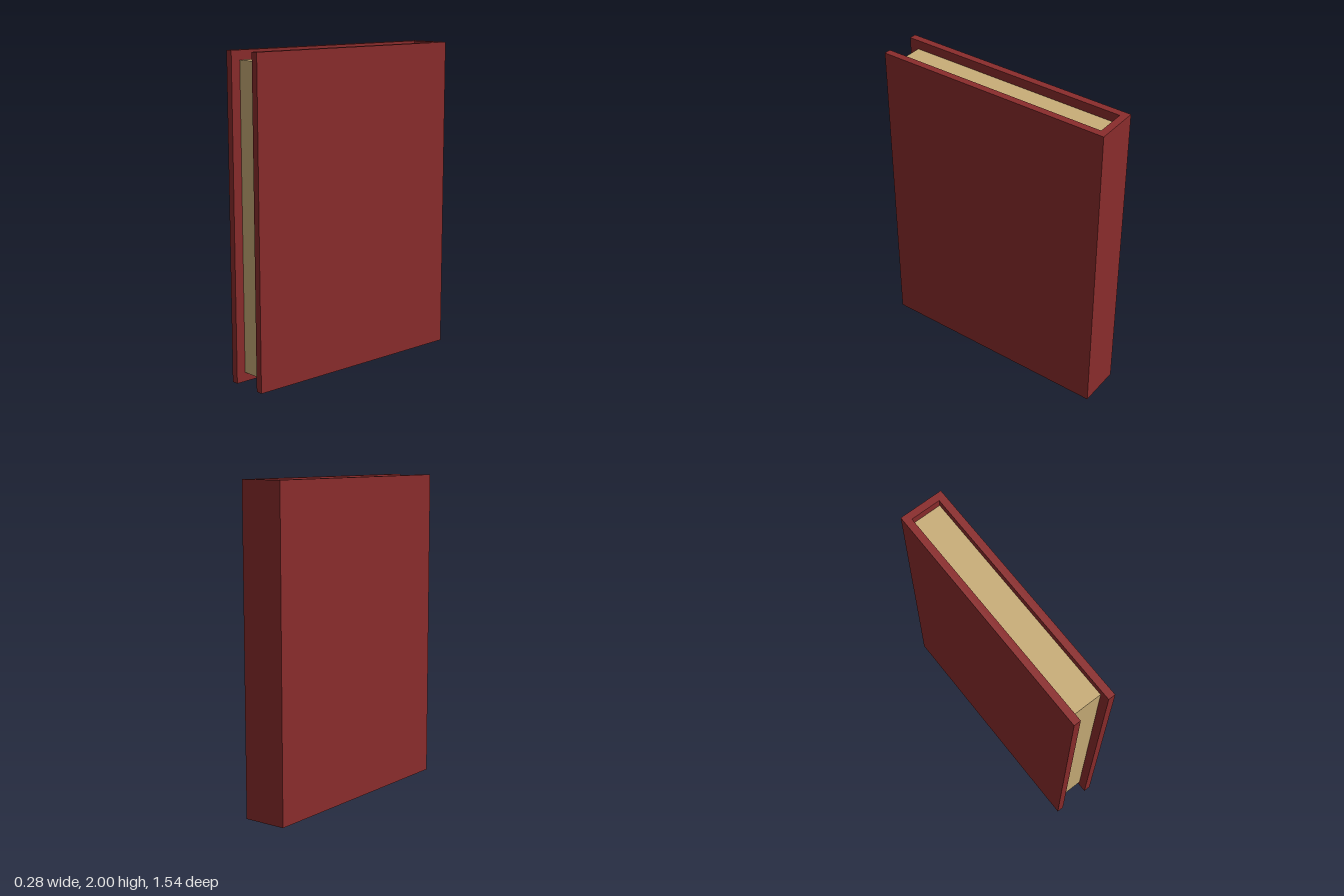
import * as THREE from 'three';

export function createModel() {
  const book = new THREE.Group();
  book.name = 'book';
  const coverRed = new THREE.MeshStandardMaterial({ color: 0x8b2c2c });
  coverRed.name = 'coverRed';
  const paperTan = new THREE.MeshStandardMaterial({ color: 0xc9ae78 });
  paperTan.name = 'paperTan';

  const halfW = 0.14, halfD = 0.77, height = 2, board = 0.045;
  const inner = halfW - board, spineFront = -halfD + board;

  // Boards and spine: one U-shaped outline (shape y is -z) raised to full height
  const outline = new THREE.Shape([
    [-halfW, -halfD], [-inner, -halfD], [-inner, -spineFront], [inner, -spineFront],
    [inner, -halfD], [halfW, -halfD], [halfW, halfD], [-halfW, halfD],
  ].map(([x, y]) => new THREE.Vector2(x, y)));
  const coverGeometry = new THREE.ExtrudeGeometry(outline, { depth: height, bevelEnabled: false });
  coverGeometry.rotateX(-Math.PI / 2);
  const cover = new THREE.Mesh(coverGeometry, coverRed);
  cover.name = 'cover';
  book.add(cover);

  // Page block, set in from the top, bottom and fore edge
  const pageBottom = 0.058, pageTop = 1.942, pageFront = 0.71;
  const pages = new THREE.Mesh(
    new THREE.BoxGeometry(inner * 2, pageTop - pageBottom, pageFront - spineFront), paperTan);
  pages.position.set(0, (pageTop + pageBottom) / 2, (pageFront + spineFront) / 2);
  pages.name = 'pages';
  book.add(pages);

  return book;
}
